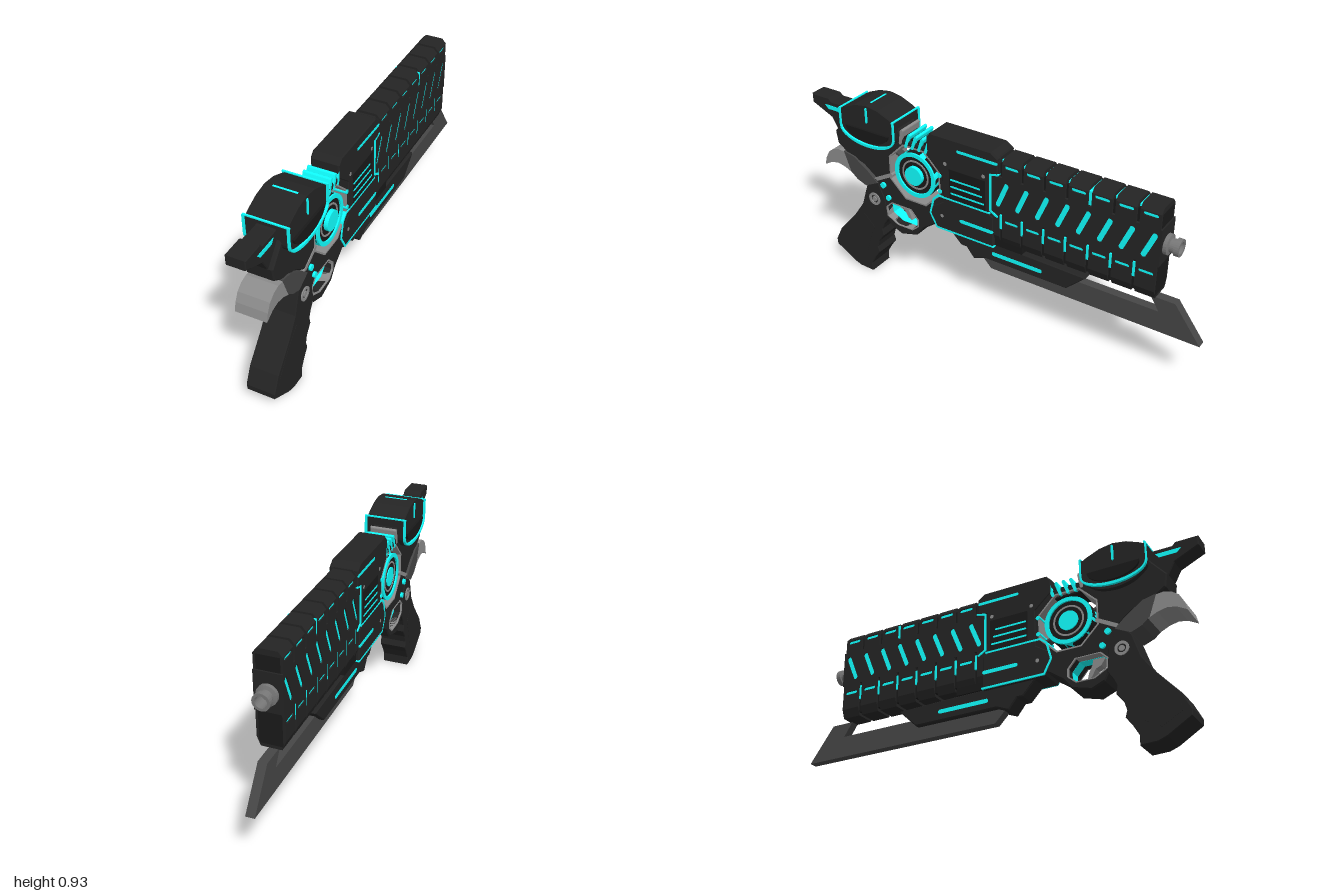
import * as THREE from 'three';

const mat = (color) => new THREE.MeshStandardMaterial({ color });
const dark = mat(0x242424), black = mat(0x191919), steel = mat(0x464646);
const grey = mat(0x8c8c8c), cyan = mat(0x10ffff);

export function createModel() {
  const model = new THREE.Group();

  const add = (name, geometry, material) => {
    const mesh = new THREE.Mesh(geometry, material);
    mesh.name = name;
    model.add(mesh);
  };

  // Extrudes a side profile drawn in (z, y) across x, centred on x
  const toShape = (pts, holes = []) => {
    const shape = new THREE.Shape(pts.map((p) => new THREE.Vector2(...p)));
    shape.holes = holes.map((h) => new THREE.Path(h.map((p) => new THREE.Vector2(...p))));
    return shape;
  };
  const plate = (name, pts, half, material, { holes, x = 0, bevel = 0 } = {}) => {
    const geo = new THREE.ExtrudeGeometry(toShape(pts, holes), {
      depth: 2 * (half - bevel), bevelEnabled: bevel > 0,
      bevelThickness: bevel, bevelSize: bevel, bevelOffset: -bevel, bevelSegments: 1,
    });
    geo.translate(0, 0, bevel - half).rotateY(-Math.PI / 2).translate(x, 0, 0);
    add(name, geo, material);
  };

  // Round-ended outline, used for bars reaching through to both sides and for slots
  const capsule = (z1, y1, z2, y2, t) => {
    const a = Math.atan2(y2 - y1, z2 - z1);
    return Array.from({ length: 14 }, (_, i) => {
      const [z, y] = i < 7 ? [z2, y2] : [z1, y1];
      const b = a - Math.PI / 2 + (i < 7 ? i : i - 1) * Math.PI / 6;
      return [z + t / 2 * Math.cos(b), y + t / 2 * Math.sin(b)];
    });
  };
  const bar = (name, z1, y1, z2, y2, t, half, material = cyan) =>
    plate(name, capsule(z1, y1, z2, y2, t), half, material);
  const path = (name, pts, t, half) => {
    for (let i = 1; i < pts.length; i++) bar(name, ...pts[i - 1], ...pts[i], t, half);
  };
  const circle = (z, y, r, n = 32, turn = 0) => Array.from({ length: n }, (_, i) => {
    const a = (i / n) * Math.PI * 2 + turn;
    return [z + r * Math.cos(a), y + r * Math.sin(a)];
  });
  const disc = (name, z, y, r, inner, half, material, x = 0) =>
    plate(name, circle(z, y, r), half, material, { x, holes: inner ? [circle(z, y, inner)] : [] });
  const box = (name, w, h, d, x, y, z, material) =>
    add(name, new THREE.BoxGeometry(w, h, d).translate(x, y, z), material);

  // Frame with the core opening and trigger opening
  const CZ = 0.404, CY = 0.634, E = Math.PI / 8;
  const opening = circle(CZ, CY, 0.148, 8, E);
  const guard = [[0.575, 0.41], [0.545, 0.44], [0.435, 0.44], [0.4, 0.4],
    [0.4, 0.365], [0.435, 0.335], [0.515, 0.335], [0.57, 0.365]];
  const grow = (pts, z, y, k) => pts.map(([a, b]) => [z + (a - z) * k, y + (b - y) * k]);
  plate('frame', [[0.8, 0.8], [0.74, 0.88], [0.5, 0.87], [0.46, 0.8], [0.28, 0.8], [0.22, 0.72],
    [0.22, 0.5], [0.3, 0.41], [0.37, 0.36], [0.41, 0.31], [0.5, 0.285], [0.56, 0.31], [0.6, 0.38],
    [0.67, 0.47], [0.62, 0.54], [0.7, 0.6], [0.8, 0.635], [0.85, 0.67], [0.86, 0.73]],
  0.062, dark, { holes: [opening, guard], bevel: 0.006 });
  plate('coreOpeningRim', grow(opening, CZ, CY, 1.04), 0.063, grey, { holes: [grow(opening, CZ, CY, 0.985)] });
  plate('triggerGuardRim', grow(guard, 0.49, 0.388, 1.08), 0.064, grey, { holes: [guard] });
  plate('triggerGuardLight', grow(guard, 0.49, 0.388, 1.03), 0.025, cyan,
    { holes: [grow(guard, 0.49, 0.388, 0.985)] });
  plate('trigger', [[0.555, 0.44], [0.53, 0.405], [0.505, 0.395], [0.485, 0.36], [0.465, 0.352],
    [0.475, 0.385], [0.49, 0.415], [0.495, 0.44]], 0.02, grey);

  // Glowing core, held in the opening by slim struts
  for (const a of [E, Math.PI + E]) {
    const c = Math.cos(a), s = Math.sin(a);
    bar('coreStrut', CZ + 0.1 * c, CY + 0.1 * s, CZ + 0.148 * c, CY + 0.148 * s, 0.01, 0.02, steel);
  }
  disc('coreDrum', CZ, CY, 0.112, 0, 0.054, black);
  disc('coreOuterRing', CZ, CY, 0.112, 0.093, 0.062, cyan);
  disc('coreInnerRing', CZ, CY, 0.073, 0.065, 0.057, grey);
  disc('coreLens', CZ, CY, 0.046, 0, 0.066, cyan, 0.007);

  // Rear spur
  plate('rearSpur', [[1, 0.88], [0.9, 0.88], [0.885, 0.865], [0.8, 0.865], [0.7, 0.88], [0.7, 0.7],
    [0.85, 0.67], [0.86, 0.73], [0.89, 0.785], [1, 0.835]], 0.043, dark, { bevel: 0.004 });
  plate('spurLight', [[0.925, 0.845], [0.81, 0.845], [0.825, 0.825], [0.905, 0.825]], 0.045, cyan);

  // Rear hub: straight-sided bowl with a shallow round base, edge lights and a faceted cap
  const HZ = 0.637;
  const base = (w, y, drop, n = 16) => Array.from({ length: n + 1 }, (_, i) => {
    const t = Math.PI * (i / n);
    return [HZ + w * Math.cos(t), y - drop * Math.sin(t)];
  });
  const bowl = base(0.15, 0.8, 0.07);
  plate('hubBowl', [[0.787, 0.885], ...bowl, [0.487, 0.885]], 0.09, dark);
  plate('hubLowerBowl', base(0.14, 0.8, 0.084), 0.086, dark);
  for (const x of [-0.095, 0.095]) {
    plate('hubBaseLight', [...base(0.153, 0.797, 0.07), ...base(0.147, 0.8, 0.06).reverse()], 0.006, cyan, { x });
    for (const z of [0.788, 0.486]) box('hubEdgeLight', 0.012, 0.09, 0.005, x, 0.843, z, cyan);
    plate('hubFace', base(0.12, 0.81, 0.06), 0.0055, black, { x });
  }
  plate('hubCap', [[0.787, 0.88], [0.765, 0.895], [0.7, 0.922], [0.637, 0.932], [0.575, 0.922],
    [0.51, 0.895], [0.487, 0.88]], 0.09, dark, { bevel: 0.003 });
  for (const z of [0.785, 0.489]) box('hubCrossLight', 0.2, 0.006, 0.008, 0, 0.887, z, cyan);
  box('hubTopLight', 0.11, 0.006, 0.01, 0, 0.929, HZ, cyan);
  bar('hubSideLight', HZ, 0.915, HZ, 0.85, 0.01, 0.095);

  // Cooling ribs above the core
  box('ribMount', 0.1, 0.05, 0.16, 0, 0.785, 0.4, black);
  bar('ribCollar', 0.465, 0.84, 0.475, 0.78, 0.016, 0.063, grey);
  for (let i = 0; i < 4; i++) {
    const z = 0.445 - i * 0.036;
    bar('coolingRib', z, 0.772, z - 0.02, 0.828, 0.015, 0.0635);
  }

  // Grip, with finger grooves on its leading edge
  plate('grip', [[0.63, 0.55], [0.69, 0.49], [0.725, 0.38], [0.78, 0.3], [0.88, 0.185], [0.917, 0.11],
    [0.915, 0.082], [0.81, 0.018], [0.77, 0.003], [0.695, 0], [0.695, 0.045], [0.67, 0.09],
    [0.641, 0.13], [0.65, 0.16], [0.64, 0.195], [0.607, 0.24], [0.613, 0.275], [0.6, 0.305],
    [0.574, 0.345], [0.585, 0.45]], 0.066, dark, { bevel: 0.003 });
  plate('gripPanel', [[0.72, 0.33], [0.8, 0.25], [0.87, 0.16], [0.88, 0.11], [0.79, 0.06], [0.72, 0.1],
    [0.69, 0.2], [0.66, 0.27]], 0.067, dark);
  plate('gripTangTip', [[0.935, 0.535], [0.925, 0.575], [0.905, 0.612], [0.875, 0.634], [0.84, 0.643],
    [0.78, 0.636], [0.76, 0.535], [0.81, 0.558], [0.85, 0.567], [0.89, 0.56]], 0.07, grey);
  plate('gripTangRoot', [[0.81, 0.643], [0.75, 0.63], [0.67, 0.575], [0.62, 0.53], [0.69, 0.495],
    [0.74, 0.515], [0.775, 0.545]], 0.0705, steel);
  bar('tangLink', 0.63, 0.545, 0.54, 0.595, 0.018, 0.065, grey);
  disc('pivotRing', 0.645, 0.435, 0.032, 0.02, 0.071, grey);
  disc('pivotPin', 0.645, 0.435, 0.013, 0, 0.071, grey);
  disc('upperButton', 0.587, 0.528, 0.014, 0, 0.073, cyan);
  disc('lowerButton', 0.56, 0.468, 0.013, 0, 0.073, cyan);

  // Receiver between core and barrel
  plate('receiver', [[0.33, 0.855], [0.305, 0.88], [-0.01, 0.88], [-0.045, 0.855], [-0.045, 0.77], [0, 0.77],
    [0, 0.57], [-0.02, 0.56], [-0.02, 0.4], [0.29, 0.4], [0.325, 0.47], [0.31, 0.51],
    [0.25, 0.55], [0.25, 0.72], [0.33, 0.79]], 0.065, dark, { bevel: 0.006 });
  box('receiverFoot', 0.1, 0.06, 0.18, 0, 0.437, -0.07, black);
  plate('receiverPanel', [[0.21, 0.73], [0.02, 0.73], [0.02, 0.58], [0.21, 0.58]], 0.0655, black);
  path('receiverLowerLight', [[-0.02, 0.405], [0.285, 0.405], [0.32, 0.47], [0.3, 0.55], [0.27, 0.575],
    [0, 0.575]], 0.009, 0.066);
  path('receiverFrontLight', [[-0.045, 0.78], [-0.005, 0.77], [-0.005, 0.59], [-0.04, 0.57]], 0.009, 0.066);
  bar('receiverTopLight', 0.16, 0.83, -0.035, 0.83, 0.014, 0.066);
  bar('receiverBaseLight', 0.15, 0.48, -0.01, 0.48, 0.018, 0.066);
  [0.68, 0.645, 0.61].forEach((y, i) => bar('receiverLight', 0.2, y, 0.05 - 0.01 * i, y, 0.009, 0.0665));
  for (const [z, y] of [[0.255, 0.475], [0.23, 0.75], [0.03, 0.75]])
    disc('receiverScrew', z, y, 0.009, 0, 0.066, grey);
  for (const y of [0.68, 0.6]) disc('receiverDot', 0.262, y, 0.01, 0, 0.067, cyan);

  // Barrel: inner beam and seven ribbed segments whose cheeks have lit slots
  const STEP = 0.1065, START = -0.056, GAP = 0.015;
  box('barrelBeam', 0.1, 0.39, 0.78, 0, 0.64, -0.405, black);
  const section = (name, pts, z, length) => {
    const geo = new THREE.ExtrudeGeometry(toShape(pts), { depth: length, bevelEnabled: false });
    add(name, geo.translate(0, 0, z - length), dark);
  };
  const rect = (z1, y1, z2, y2) => [[z1, y1], [z2, y1], [z2, y2], [z1, y2]];
  const mirror = (half) => [...half, ...half.map(([x, y]) => [-x, y]).reverse()];
  const topProfile = mirror([[0.05, 0.775], [0.05, 0.838], [0.061, 0.838], [0.042, 0.86]]);
  const baseProfile = mirror([[0.05, 0.59], [0.05, 0.47], [0.061, 0.47], [0.045, 0.43]]);
  const block = (z, length, slotted) => {
    const end = z - length, mid = z - length / 2;
    const slot = (y) => (slotted ? [capsule(mid + 0.026, y, mid - 0.026, y, 0.016)] : []);
    section('barrelTopBlock', topProfile, z, length);
    section('barrelBaseBlock', baseProfile, z, length);
    plate('barrelTopCheek', rect(z, 0.77, end, 0.838), 0.061, dark, { holes: slot(0.824) });
    plate('barrelBaseCheek', rect(z, 0.47, end, 0.595), 0.061, dark, { holes: slot(0.552) });
    for (const pts of [...slot(0.824), ...slot(0.552)]) plate('slotLight', pts, 0.055, cyan);
  };
  block(0, -START - GAP / 2, false);
  for (let i = 0; i < 7; i++) {
    const z = START - i * STEP;
    block(z - GAP / 2, STEP - GAP, true);
    box('segmentTopLight', 0.08, 0.02, 0.01, 0, 0.836, z, cyan);
    box('segmentBaseLight', 0.116, 0.07, 0.013, 0, 0.545, z, cyan);
  }
  box('barrelBandLight', 0.119, 0.065, 0.013, 0, 0.81, START - 4 * STEP, cyan);

  // Side panel with eight slanted lit slots
  const slashes = Array.from({ length: 8 }, (_, i) => {
    const z = -0.062 - i * 0.0985;
    return capsule(z + 0.022, 0.63, z - 0.022, 0.735, 0.024);
  });
  plate('barrelSidePanel', rect(0, 0.595, -0.802, 0.77), 0.061, dark, { holes: slashes });
  for (const pts of slashes) plate('barrelSlash', pts, 0.055, cyan);

  // Muzzle tube with an open bore
  const muzzle = [[0.045, 0], [0.045, 0.018], [0.03, 0.022], [0.03, 0.042], [0.038, 0.044], [0.038, 0.066],
    [0.026, 0.066], [0.026, 0.01], [0, 0.01]];
  add('muzzle', new THREE.LatheGeometry(muzzle.map((p) => new THREE.Vector2(...p)), 24)
    .rotateX(-Math.PI / 2).translate(0, 0.677, -0.8), new THREE.MeshStandardMaterial(
    { color: 0x777777, side: THREE.DoubleSide, flatShading: true }));

  // Underslung blade and its housing
  plate('bladeHousing', [[0.24, 0.41], [0.17, 0.335], [0.14, 0.335], [0.1, 0.285], [0.04, 0.31],
    [-0.38, 0.31], [-0.475, 0.4], [-0.02, 0.41]], 0.045, dark, { bevel: 0.005 });
  plate('blade', [[0.08, 0.31], [0.02, 0.248], [-1, 0.248], [-0.875, 0.417], [-0.763, 0.417],
    [-0.806, 0.35], [-0.3, 0.35]], 0.02, steel);
  bar('bladeHousingLight', -0.01, 0.352, -0.25, 0.352, 0.02, 0.046);

  return model;
}
